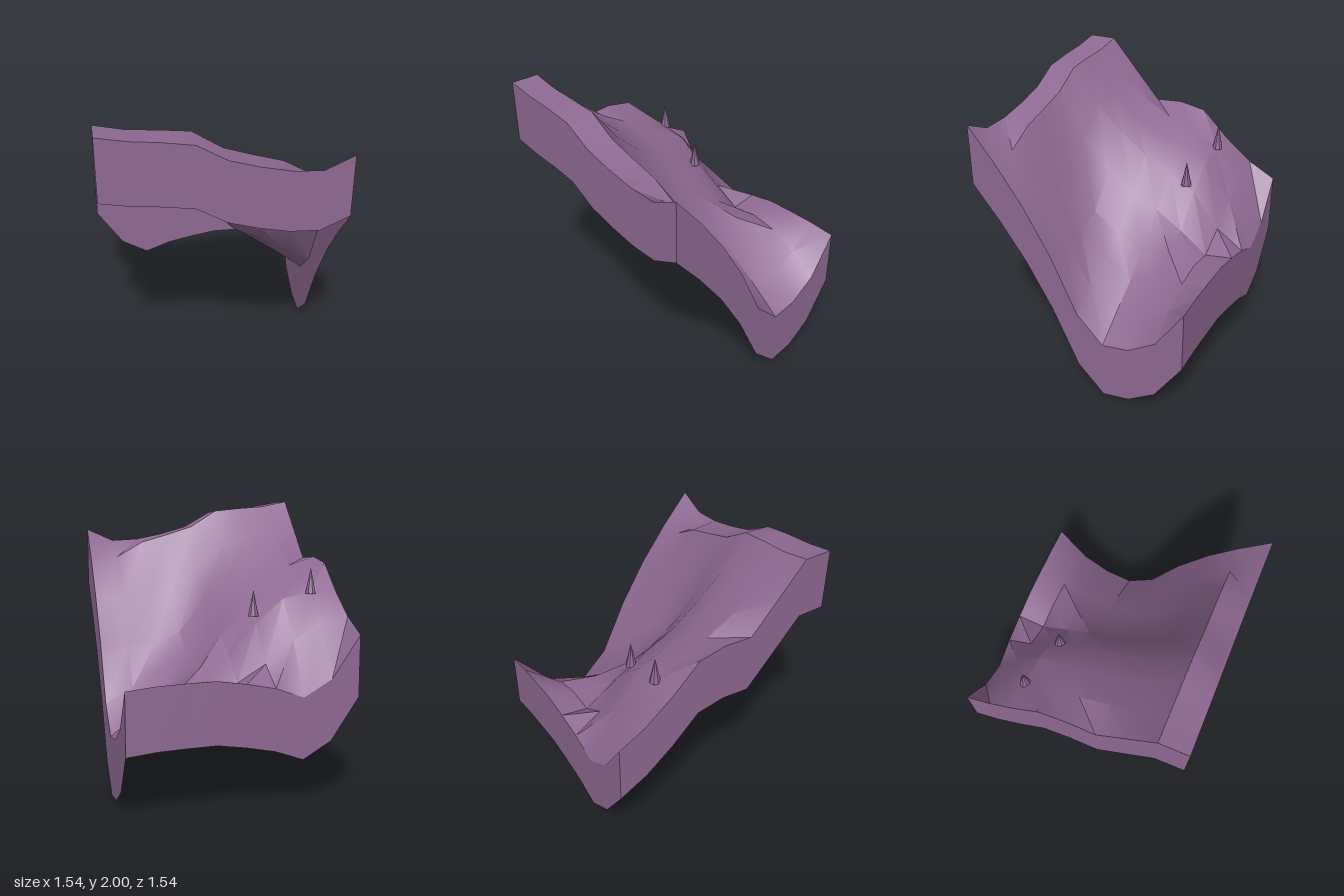
import * as THREE from 'three';
import { toCreasedNormals } from 'three/addons/utils/BufferGeometryUtils.js';

const N = 8, SIZE = 1.54, HALF = SIZE / 2, SKIRT = 0.41;

// Ground heights: rows run from back to front, columns from -x to +x
const HEIGHTS = [
  [1.12, 0.84, 0.73, 0.80, 0.84, 0.87, 0.867, 0.86, 0.84],
  [1.22, 1.19, 1.07, 0.925, 0.81, 0.83, 0.79, 0.69, 0.56],
  [1.37, 1.365, 1.33, 1.17, 0.95, 0.89, 0.75, 0.60, 0.44],
  [1.555, 1.45, 1.40, 1.28, 1.07, 0.84, 0.70, 0.56, 0.41],
  [1.59, 1.53, 1.46, 1.37, 1.14, 0.91, 0.81, 0.70, 0.595],
  [1.575, 1.64, 1.58, 1.51, 1.29, 1.05, 0.96, 0.97, 0.99],
  [1.785, 1.77, 1.74, 1.68, 1.52, 1.39, 1.32, 1.31, 1.305],
  [2.0, 1.96, 1.945, 1.925, 1.805, 1.745, 1.69, 1.58, 1.56],
  [2.0, 1.965, 1.945, 1.915, 1.805, 1.75, 1.71, 1.70, 1.785],
];

const coord = i => (i / N - 0.5) * SIZE;
const crease = g => toCreasedNormals(g, Math.PI / 6);

export function createModel() {
  const group = new THREE.Group();
  const mauve = new THREE.MeshStandardMaterial({ color: 0x8f6a93, side: THREE.DoubleSide });
  mauve.name = 'mauve';

  const add = (name, geometry) => {
    const mesh = new THREE.Mesh(geometry, mauve);
    mesh.name = name;
    group.add(mesh);
    return mesh;
  };

  // Rolling ground surface
  const ground = new THREE.PlaneGeometry(SIZE, SIZE, N, N).rotateX(-Math.PI / 2);
  const p = ground.attributes.position;
  for (let i = 0; i < p.count; i++) p.setY(i, HEIGHTS[Math.floor(i / (N + 1))][i % (N + 1)]);
  add('ground', crease(ground));

  // Skirts hanging from the four edges; the underside stays open
  const skirt = (name, edge) => {
    const g = new THREE.PlaneGeometry(1, 1, N, 1);
    const q = g.attributes.position;
    for (let i = 0; i < q.count; i++) {
      const [x, y, z] = edge(i % (N + 1));
      q.setXYZ(i, x, i > N ? y - SKIRT : y, z);
    }
    add(name, crease(g));
  };
  skirt('frontSkirt', i => [coord(i), HEIGHTS[N][i], HALF]);
  skirt('backSkirt', i => [coord(N - i), HEIGHTS[0][N - i], -HALF]);
  skirt('leftSkirt', i => [HALF, HEIGHTS[N - i][N], coord(N - i)]);
  skirt('rightSkirt', i => [-HALF, HEIGHTS[i][0], coord(i)]);

  // Small pointed spikes standing on the slope
  for (const [x, y, z] of [[-0.58, 1.36, -0.39], [-0.193, 1.21, -0.325]]) {
    add('spike', crease(new THREE.ConeGeometry(0.038, 0.175, 8))).position.set(x, y + 0.0875, z);
  }
  return group;
}
